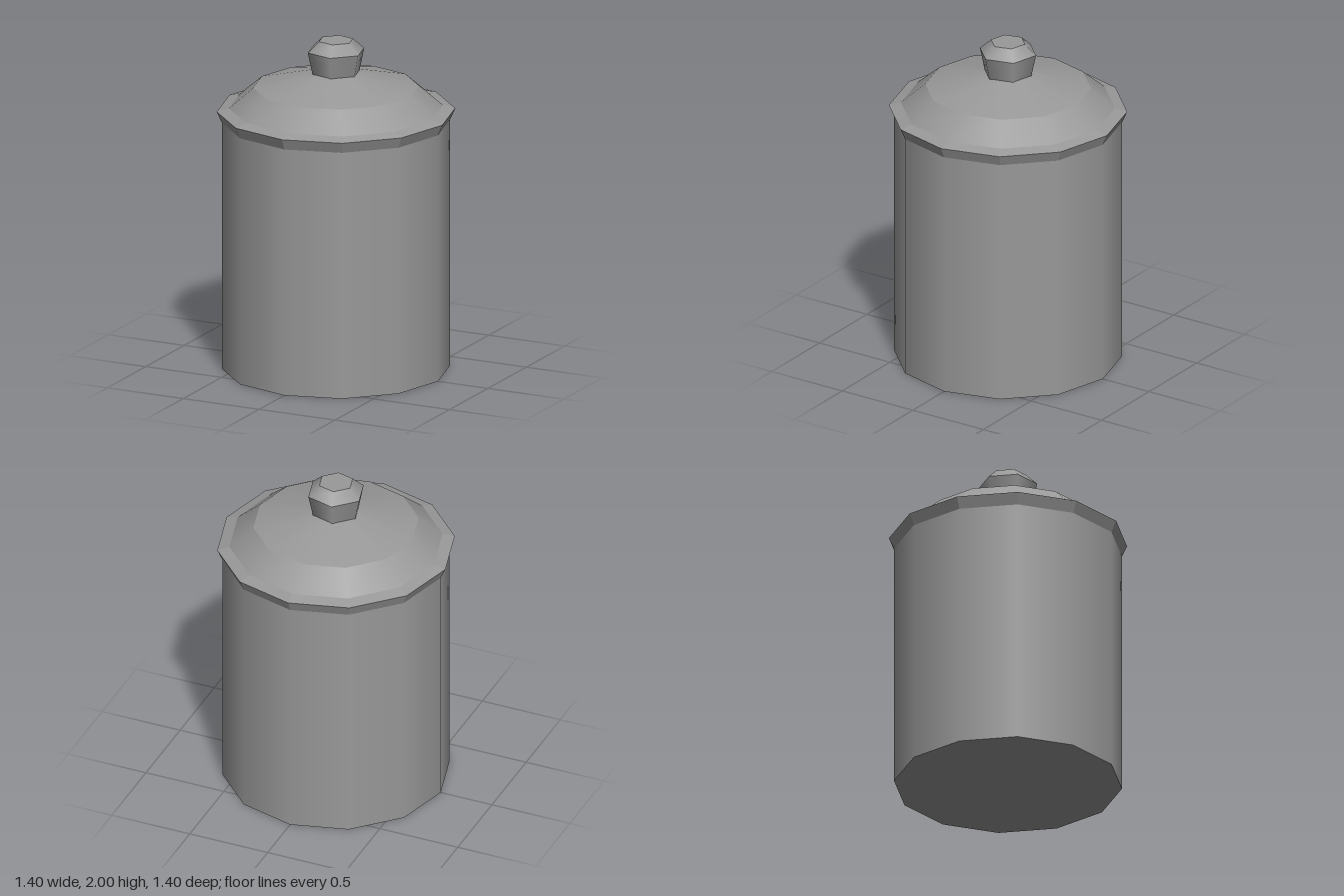
import * as THREE from 'three';

export function createModel() {
  const group = new THREE.Group();
  group.name = 'liddedJar';
  const smooth = new THREE.MeshStandardMaterial({ color: 0x999999 });
  const faceted = new THREE.MeshStandardMaterial({ color: 0x999999, flatShading: true });

  // One tapered ring from (r0, y0) up to (r1, y1)
  function band(parent, name, [r0, y0], [r1, y1], sides, material, open = true, turn = 0) {
    const geometry = new THREE.CylinderGeometry(r1, r0, y1 - y0, sides, 1, open, turn);
    const mesh = new THREE.Mesh(geometry, material);
    mesh.name = name;
    mesh.position.y = (y0 + y1) / 2;
    parent.add(mesh);
  }

  // Twelve-sided body, closed at the base
  band(group, 'body', [0.672, 0], [0.672, 1.505], 12, smooth, false);

  // Lid: flared rim, shoulder and shallow cone
  const lid = new THREE.Group();
  lid.name = 'lid';
  group.add(lid);
  band(lid, 'rimUnderside', [0.672, 1.505], [0.702, 1.572], 12, faceted);
  band(lid, 'rimTop', [0.702, 1.572], [0.63, 1.592], 12, faceted);
  band(lid, 'lidShoulder', [0.63, 1.592], [0.488, 1.715], 12, smooth);
  band(lid, 'lidCone', [0.488, 1.715], [0.14, 1.804], 12, smooth, false);

  // Six-sided knob with softened sides, turned a little
  const knob = new THREE.Group();
  knob.name = 'knob';
  group.add(knob);
  const turn = Math.PI / 12;
  band(knob, 'knobStem', [0.145, 1.8], [0.174, 1.937], 6, smooth, true, turn);
  band(knob, 'knobTop', [0.174, 1.937], [0.105, 2], 6, smooth, false, turn);

  return group;
}
